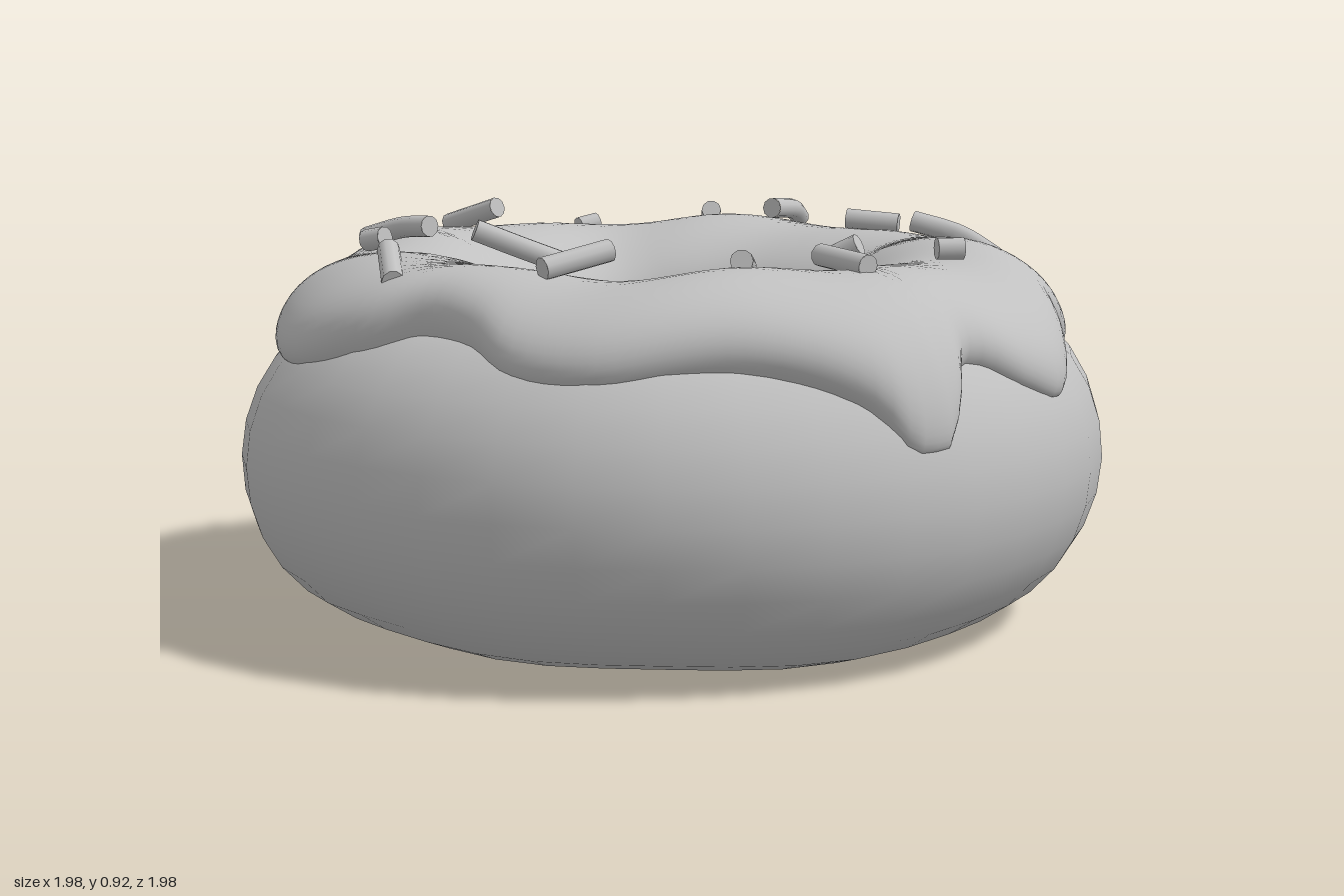
import * as THREE from 'three';

const RING = 0.645, A = 0.347, B = 0.365, MID = 0.375;

// Closed ring surface: at(i, j) gives a point; i runs round the ring, j round the section
function ringSurface(nRing, nSection, closedSection, at) {
  const pos = [], idx = [];
  const rows = closedSection ? nSection : nSection + 1;
  for (let i = 0; i < nRing; i++) {
    for (let j = 0; j < rows; j++) pos.push(...at(i / nRing, j / nSection));
    for (let j = 0; j < nSection; j++) {
      const i2 = (i + 1) % nRing, j2 = (j + 1) % rows;
      const a = i * rows + j, b = i * rows + j2, c = i2 * rows + j, d = i2 * rows + j2;
      idx.push(a, b, c, b, d, c);
    }
  }
  const g = new THREE.BufferGeometry();
  g.setAttribute('position', new THREE.Float32BufferAttribute(pos, 3));
  g.setIndex(idx);
  g.computeVertexNormals();
  return g;
}

// Point on the elliptical section, pushed out along its normal by t
function sectionPoint(theta, phi, t) {
  const n = new THREE.Vector2(Math.cos(phi) / A, Math.sin(phi) / B).normalize();
  const r = RING + A * Math.cos(phi) + n.x * t;
  const y = MID + B * Math.sin(phi) + n.y * t;
  return [r * Math.cos(theta), y, r * Math.sin(theta)];
}

// Outer edge of the icing seen from above (x, z), with its drips
const icingEdge = new THREE.CatmullRomCurve3([
  [0.95, 0], [0.91, 0.12], [0.83, 0.3], [0.82, 0.42], [0.78, 0.57], [0.67, 0.66],
  [0.51, 0.73], [0.47, 0.85], [0.4, 0.92], [0.25, 0.9], [0, 0.87], [-0.3, 0.85],
  [-0.46, 0.76], [-0.53, 0.63], [-0.62, 0.52], [-0.75, 0.45], [-0.87, 0.3], [-0.92, 0.1],
  [-0.9, -0.1], [-0.8, -0.27], [-0.78, -0.42], [-0.8, -0.55], [-0.7, -0.63], [-0.5, -0.7],
  [-0.35, -0.8], [-0.2, -0.93], [-0.04, -1], [0.08, -0.97], [0.3, -0.8], [0.4, -0.74],
  [0.58, -0.71], [0.68, -0.6], [0.7, -0.4], [0.74, -0.25], [0.85, -0.15],
].map(([x, z]) => new THREE.Vector3(x, 0, z)), true);

function icingPoint(s, k) {
  const e = icingEdge.getPointAt(s);
  const theta = Math.atan2(e.z, e.x);
  const cosOuter = Math.min(0.94, (Math.hypot(e.x, e.z) - 0.02 - RING) / A);
  const outer = Math.acos(cosOuter);
  const inner = THREE.MathUtils.degToRad(143.5 - 7 * Math.cos(theta) + 6 * Math.sin(theta));
  const u = Math.sin((k - 0.5) * Math.PI);
  const phi = THREE.MathUtils.lerp(outer, inner, (u + 1) / 2);
  const top = Math.sin(phi) ** 2;
  const bumps = 0.01 * Math.sin(5 * theta + 1) + 0.006 * Math.sin(9 * theta + 4 * phi);
  const thick = 0.025 + (0.085 + bumps) * top;
  return sectionPoint(theta, phi, thick * Math.sqrt(Math.max(0, 1 - u ** 8)) - 0.01);
}

// Sprinkle paths: two points for straight ones, three for bent ones
const SPRINKLES = [
  [[-0.12, 0.81, -0.8], [-0.07, 0.82, -0.82]],
  [[0.23, 0.8, -0.82], [0.21, 0.86, -0.68]],
  [[0.44, 0.84, -0.67], [0.4, 0.87, -0.57], [0.33, 0.88, -0.48]],
  [[0.5, 0.86, -0.38], [0.62, 0.85, -0.33]],
  [[0.59, 0.88, -0.07], [0.69, 0.85, -0.02], [0.77, 0.79, 0.12]],
  [[0.31, 0.84, 0.33], [0.36, 0.87, 0.36]],
  [[0.53, 0.86, 0.38], [0.59, 0.86, 0.38]],
  [[0.25, 0.86, 0.47], [0.32, 0.85, 0.62]],
  [[0.09, 0.79, 0.37], [0.08, 0.84, 0.5], [0.06, 0.86, 0.57]],
  [[-0.36, 0.85, 0.57], [-0.21, 0.88, 0.5]],
  [[-0.47, 0.9, 0.21], [-0.37, 0.86, 0.21], [-0.27, 0.82, 0.18]],
  [[-0.66, 0.86, 0.21], [-0.66, 0.81, 0.41]],
  [[-0.7, 0.86, 0], [-0.66, 0.87, 0.04]],
  [[-0.69, 0.84, -0.28], [-0.61, 0.87, -0.2], [-0.55, 0.88, -0.11]],
  [[-0.47, 0.84, -0.62], [-0.36, 0.89, -0.49]],
];

function makeSprinkle(points, material) {
  const radius = 0.025;
  const g = new THREE.Group();
  const pts = points.map((p) => new THREE.Vector3(...p));
  const curve = new THREE.CatmullRomCurve3(pts);
  g.add(new THREE.Mesh(new THREE.TubeGeometry(curve, pts.length > 2 ? 8 : 1, radius, 10), material));
  // flat ends
  for (const t of [0, 1]) {
    const cap = new THREE.Mesh(new THREE.CircleGeometry(radius, 10), material);
    const dir = curve.getTangent(t).multiplyScalar(t ? 1 : -1);
    cap.position.copy(curve.getPoint(t));
    cap.quaternion.setFromUnitVectors(new THREE.Vector3(0, 0, 1), dir);
    g.add(cap);
  }
  g.children.forEach((m, i) => { m.name = i ? 'sprinkleEnd' : 'sprinkleBody'; });
  g.name = 'sprinkle';
  return g;
}

export function createModel() {
  const grey = new THREE.MeshStandardMaterial({ color: 0xc0c0c0 });
  grey.name = 'plain grey';
  const model = new THREE.Group();
  model.name = 'doughnut';

  // Slightly uneven dough ring
  const dough = new THREE.Mesh(ringSurface(36, 28, true, (s, k) => {
    const theta = s * Math.PI * 2, phi = k * Math.PI * 2;
    const wobble = 0.005 * Math.sin(3 * theta + 1) * Math.sin(2 * phi) + 0.004 * Math.sin(7 * theta + phi);
    return sectionPoint(theta, phi, wobble);
  }), grey);
  dough.name = 'dough';

  // Icing with rounded rim and drips
  const icing = new THREE.Mesh(ringSurface(160, 32, false, icingPoint), grey);
  icing.name = 'icing';

  const sprinkles = new THREE.Group();
  sprinkles.name = 'sprinkles';
  SPRINKLES.forEach((p) => sprinkles.add(makeSprinkle(p, grey)));

  model.add(dough, icing, sprinkles);
  return model;
}
